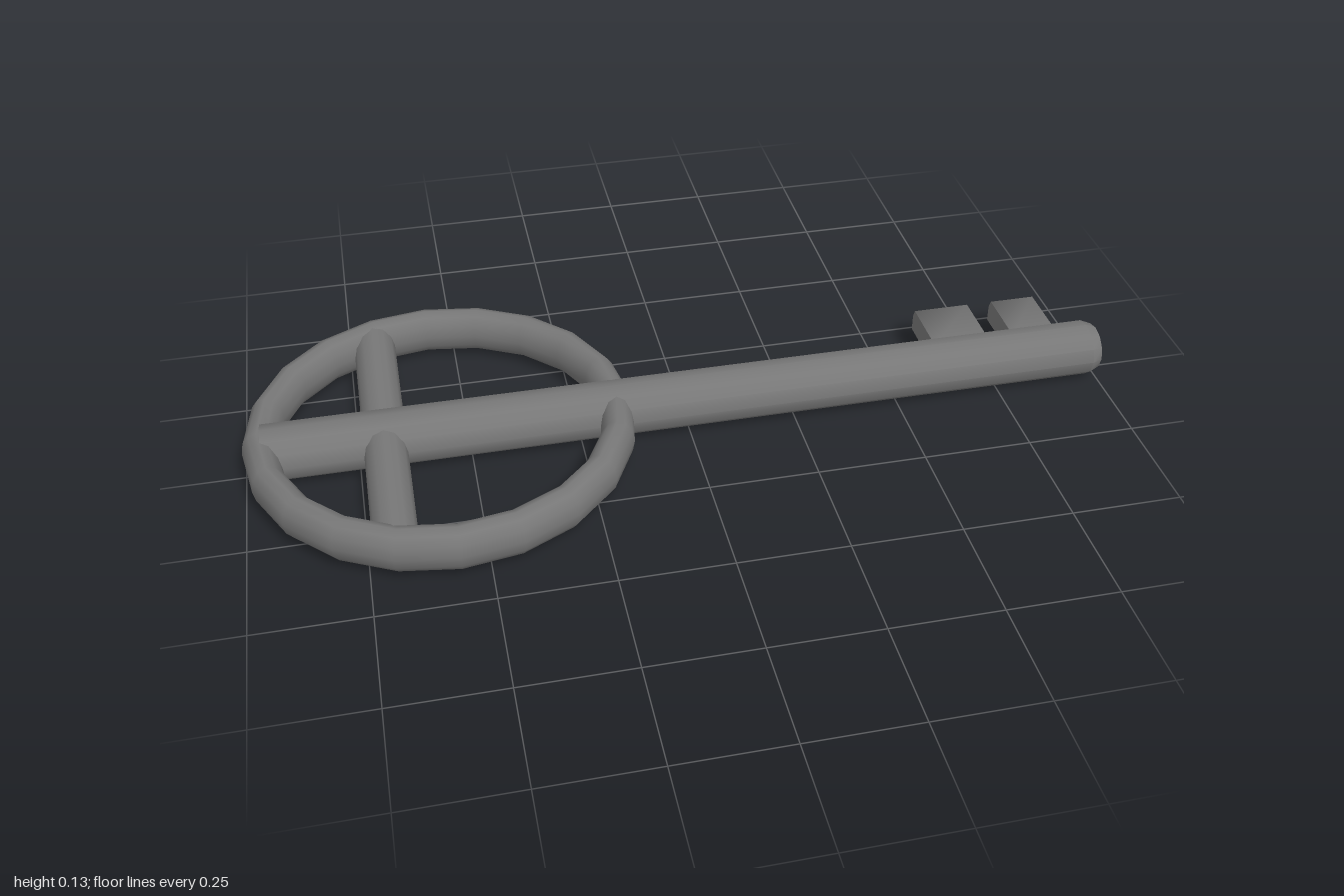
import * as THREE from 'three';
import { toCreasedNormals } from 'three/addons/utils/BufferGeometryUtils.js';

const MID = 0.0635; // height of the key's centre line

export function createModel() {
  const key = new THREE.Group();
  key.name = 'key';
  const material = new THREE.MeshStandardMaterial({ color: 0x777777 });
  const add = (name, geometry, x, y, z) => {
    const mesh = new THREE.Mesh(geometry, material);
    mesh.name = name;
    mesh.position.set(x, y, z);
    key.add(mesh);
  };

  // Shaft: round bar with a softened tip, running through the bow
  const profile = [[0, -0.955], [0.0635, -0.955], [0.0635, 0.975], [0.053, 1], [0, 1]]
    .map(([r, x]) => new THREE.Vector2(r, x));
  const shaft = new THREE.LatheGeometry(profile, 12);
  shaft.rotateZ(-Math.PI / 2);
  shaft.scale(1, 1, 1.06);
  add('shaft', toCreasedNormals(shaft, 0.6), 0, MID, 0.002);

  // Bow: ring with an upright oval section
  const bow = new THREE.TorusGeometry(0.4, 0.038, 12, 20);
  bow.rotateX(Math.PI / 2);
  bow.scale(1, 1.4, 1);
  add('bow', bow, -0.562, 0.066, 0);

  // Crossbar spanning the bow
  const bar = new THREE.CylinderGeometry(0.048, 0.048, 0.75, 12);
  bar.rotateX(Math.PI / 2);
  add('crossbar', bar, -0.689, 0.066, 0);

  // Teeth: blocks on the back of the shaft with a bevelled upper outer edge
  const section = new THREE.Shape(
    [[0.03, 0.042], [0.187, 0.042], [0.187, 0.08], [0.178, 0.1], [0.03, 0.1]]
      .map(([d, y]) => new THREE.Vector2(d, y)));
  for (const [name, x, width] of [['innerTooth', 0.61, 0.134], ['outerTooth', 0.806, 0.108]]) {
    const tooth = new THREE.ExtrudeGeometry(section, { depth: width, bevelEnabled: false });
    tooth.rotateY(Math.PI / 2);
    add(name, toCreasedNormals(tooth, 1.2), x, 0, 0);
  }
  return key;
}
